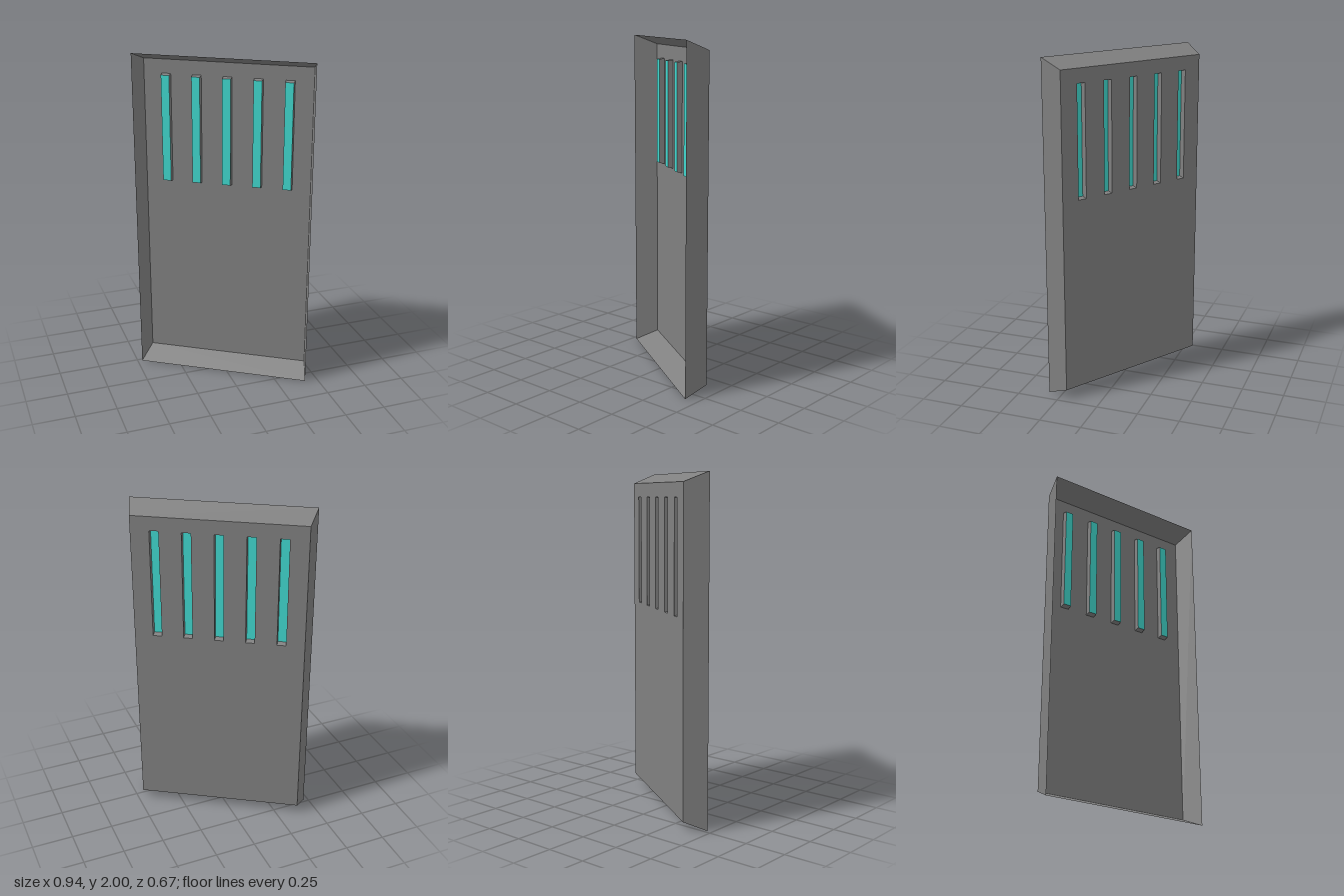
import * as THREE from 'three';

// Corners of an upright rectangle, counter-clockwise seen from the front
const rect = (cx, halfW, y0, y1, z) => [
  [cx - halfW, y0, z], [cx + halfW, y0, z], [cx + halfW, y1, z], [cx - halfW, y1, z],
];

// Four sloping walls joining a back rectangle to a front rectangle
function taperedWalls(back, front) {
  const p = [];
  for (let i = 0; i < 4; i++) {
    const j = (i + 1) % 4;
    p.push(...back[i], ...back[j], ...front[j], ...back[i], ...front[j], ...front[i]);
  }
  const g = new THREE.BufferGeometry();
  g.setAttribute('position', new THREE.Float32BufferAttribute(p, 3));
  g.computeVertexNormals();
  return g;
}

const toPath = (path, corners) =>
  path.setFromPoints(corners.map(([x, y]) => new THREE.Vector2(x, y)));

export function createModel() {
  const grey = new THREE.MeshStandardMaterial({ color: 0x808080, side: THREE.DoubleSide });
  grey.name = 'grey panel';
  const teal = new THREE.MeshStandardMaterial({ color: 0x40d8ce, side: THREE.DoubleSide });
  teal.name = 'teal light';

  const panel = new THREE.Group();
  panel.name = 'wallPanel';
  const add = (geometry, material, name) => {
    const mesh = new THREE.Mesh(geometry, material);
    mesh.name = name;
    panel.add(mesh);
  };

  // Sloping rim around the open-fronted tray
  const backZ = -0.082;
  const back = rect(0, 0.499, 0.058, 1.944, backZ);
  add(taperedWalls(back, rect(0, 0.529, 0, 2, 0.056)), grey, 'rim');

  // Back sheet with five slots, each leading to a recessed light strip
  const sheet = toPath(new THREE.Shape(), back);
  for (let i = -2; i <= 2; i++) {
    const x = i * 0.182;
    const opening = rect(x, 0.0265, 1.205, 1.861, backZ);
    const floor = rect(x, 0.0245, 1.213, 1.856, backZ + 0.032);
    sheet.holes.push(toPath(new THREE.Path(), opening));
    add(taperedWalls(opening, floor), grey, 'slotWalls');
    const strip = new THREE.ShapeGeometry(toPath(new THREE.Shape(), floor));
    add(strip.translate(0, 0, backZ + 0.032), teal, 'lightStrip');
  }
  add(new THREE.ShapeGeometry(sheet).translate(0, 0, backZ), grey, 'backSheet');

  // The panel stands turned about the vertical axis
  panel.rotation.y = -0.5645;
  panel.position.set(0.005, 0, 0.003);
  const model = new THREE.Group();
  model.name = 'model';
  model.add(panel);
  return model;
}
